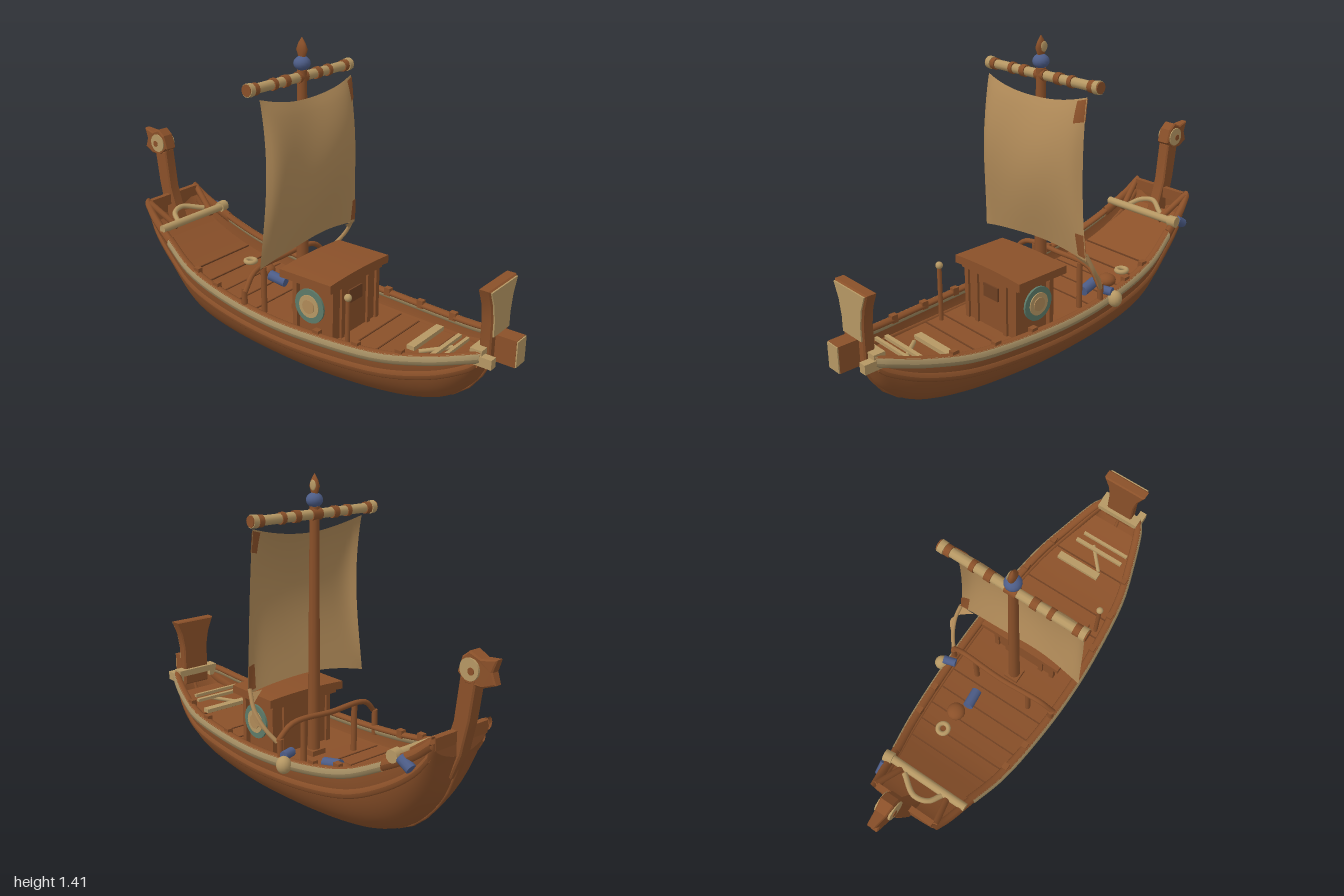
import * as THREE from 'three';
import { toCreasedNormals } from 'three/addons/utils/BufferGeometryUtils.js';

const V = (x, y, z) => new THREE.Vector3(x, y, z);
const mat = (name, color) => Object.assign(new THREE.MeshStandardMaterial({ color, side: THREE.DoubleSide }), { name });

// Sheer line (half width, y, z) and the matching keel line
const sheer = new THREE.CatmullRomCurve3([
  V(0.095, 0.345, 0.89), V(0.125, 0.335, 0.84), V(0.175, 0.3, 0.7), V(0.23, 0.272, 0.5), V(0.262, 0.265, 0.2),
  V(0.268, 0.272, -0.05), V(0.255, 0.3, -0.3), V(0.232, 0.345, -0.5), V(0.195, 0.42, -0.66),
  V(0.17, 0.49, -0.78), V(0.15, 0.55, -0.85)], false, 'catmullrom');
const keel = new THREE.CatmullRomCurve3([
  V(0, 0.29, 0.885), V(0, 0.17, 0.82), V(0, 0.07, 0.7), V(0, 0.025, 0.5), V(0, 0.004, 0.2),
  V(0, 0.006, -0.05), V(0, 0.02, -0.32), V(0, 0.055, -0.52), V(0, 0.13, -0.66),
  V(0, 0.28, -0.785), V(0, 0.47, -0.855)], false, 'catmullrom');
const sheerPoints = sheer.getPoints(200);
const sheerAt = z => sheerPoints.reduce((a, b) => (Math.abs(b.z - z) < Math.abs(a.z - z) ? b : a));
const deckDrop = 0.062;
const deckY = z => sheerAt(z).y - deckDrop;

// Hull skin: t runs bow to stern, th goes from one rail under the keel to the other
function hullPoint(t, th) {
  const s = sheer.getPoint(t), k = keel.getPoint(t), c = Math.cos(th), f = Math.sin(th);
  const p = 0.94 + 0.4 * Math.pow(Math.abs(2 * t - 1), 4);
  return V(s.x * Math.sign(c) * Math.pow(Math.abs(c), p), s.y + (k.y - s.y) * f, s.z + (k.z - s.z) * f);
}

// Surface from a rule of two parameters, both 0..1
function grid(fn, nu, nv) {
  const pos = [], idx = [];
  for (let i = 0; i <= nu; i++) for (let j = 0; j <= nv; j++) pos.push(...fn(i / nu, j / nv).toArray());
  for (let i = 0; i < nu; i++) for (let j = 0; j < nv; j++) {
    const a = i * (nv + 1) + j, b = a + nv + 1;
    idx.push(a, b, a + 1, b, b + 1, a + 1);
  }
  const g = new THREE.BufferGeometry();
  g.setAttribute('position', new THREE.Float32BufferAttribute(pos, 3));
  g.setIndex(idx);
  g.computeVertexNormals();
  return g;
}

// Billowing cloth with edges curling back: u across, v from yard to foot
function sailPoint(u, v) {
  const w = 2 * u - 1, top = 1.205 - 0.045 * (1 - w * w), low = 0.525 + 0.035 * (1 - w * w) + 0.01 * w;
  const belly = Math.sin(Math.PI * Math.pow(v, 0.85));
  return V(w * (0.285 + 0.025 * v * v), top + (low - top) * v,
    -0.012 + 0.058 * belly + 0.012 * (1 - w * w) - 0.035 * Math.pow(w, 10) * belly
    + 0.012 * v + 0.004 * Math.sin(9 * u + 5 * v));
}

export function createModel() {
  const model = new THREE.Group();
  model.name = 'sailingBoat';
  const brown = mat('brownWood', 0x8a5029), dark = mat('darkWood', 0x6f4022), tan = mat('paleWood', 0xb59763),
    cloth = mat('sailCloth', 0xb08a58), trim = mat('weatheredTrim', 0xa08a60), blue = mat('blueCloth', 0x4d5d88),
    teal = mat('tealPaint', 0x5c7a68);

  const add = (name, geo, m, x = 0, y = 0, z = 0) => {
    const mesh = new THREE.Mesh(geo, m);
    mesh.name = name;
    mesh.position.set(x, y, z);
    model.add(mesh);
  };
  const box = (name, w, h, d, m, x, y, z) => add(name, new THREE.BoxGeometry(w, h, d), m, x, y, z);
  const ball = (name, r, m, x, y, z, sy = 1) => add(name, new THREE.SphereGeometry(r, 14, 10).scale(1, sy, 1), m, x, y, z);
  const rod = (name, a, b, r, m, r2 = r) => {
    const d = b.clone().sub(a), mid = a.clone().add(b).multiplyScalar(0.5);
    const turn = new THREE.Quaternion().setFromUnitVectors(V(0, 1, 0), d.clone().normalize());
    add(name, new THREE.CylinderGeometry(r2, r, d.length(), 10).applyQuaternion(turn), m, mid.x, mid.y, mid.z);
  };
  const tube = (name, pts, r, m) => add(name, new THREE.TubeGeometry(new THREE.CatmullRomCurve3(pts), 24, r, 8), m);
  const extrude = (pts, depth, bevel = 0.006) => {
    const g = new THREE.ExtrudeGeometry(new THREE.Shape(pts.map(p => new THREE.Vector2(...p))),
      { depth, bevelEnabled: bevel > 0, bevelSize: bevel, bevelThickness: bevel, bevelSegments: 1 });
    return toCreasedNormals(g.translate(0, 0, -depth / 2), 0.5);
  };
  const sideExtrude = (pts, depth) => extrude(pts, depth).rotateY(-Math.PI / 2);

  // Hull skin, end walls and sunken deck
  add('hull', grid((t, u) => hullPoint(t, u * Math.PI), 60, 32), brown);
  for (const t of [0, 1]) add(t ? 'sternWall' : 'bowWall', grid((u, v) => {
    const p = hullPoint(t, u * Math.PI), s = sheer.getPoint(t);
    return p.lerp(V(p.x, s.y, s.z), v);
  }, 24, 2), brown);
  add('deck', grid((t, u) => {
    const s = sheer.getPoint(0.1 + 0.86 * t);
    return V((2 * u - 1) * s.x * 0.93, s.y - deckDrop, s.z);
  }, 40, 4), brown);
  for (const z of [0.62, 0.42, 0.32, -0.18, -0.28, -0.37, -0.46, -0.55])
    box('deckSeam', sheerAt(z).x * 1.84, 0.006, 0.006, dark, 0, deckY(z) + 0.001, z);
  tube('keelBeam', keel.getPoints(20), 0.008, brown);

  // Rails with a brown cap over a pale outer band, wales and timber ends, on both sides
  const rail = (s, t0, t1, dx, dy, rx, ry) => grid((t, a) => {
    const p = sheer.getPoint(t0 + (t1 - t0) * t), c = Math.cos(a * 2 * Math.PI), q = Math.sin(a * 2 * Math.PI);
    return V(s * (p.x + dx + rx * c), p.y + dy + ry * q, p.z);
  }, 40, 10);
  for (const s of [-1, 1]) {
    add('gunwaleBand', rail(s, 0, 0.8, 0.005, 0, 0.016, 0.022), trim);
    add('gunwaleCap', rail(s, 0, 0.8, -0.004, 0.013, 0.019, 0.012), brown);
    add('sternGunwale', rail(s, 0.8, 1, 0, 0.004, 0.018, 0.026), brown);
    add('wale', grid((t, a) => {
      const p = hullPoint(0.03 + 0.94 * t, 0.3), c = Math.cos(a * 2 * Math.PI), q = Math.sin(a * 2 * Math.PI);
      return V(s * (p.x + 0.01 * c), p.y + 0.022 * q, p.z);
    }, 40, 8), brown);
    box('bowTimberEnd', 0.034, 0.04, 0.08, tan, s * 0.095, 0.335, 0.9);
    for (const z of [0.6, 0.42, 0.24, -0.32, -0.45])
      box('railCleat', 0.025, 0.035, 0.03, brown, s * (sheerAt(z).x - 0.01), sheerAt(z).y + 0.02, z);
  }

  // Flared bow post with pale face, and the beam end below it
  const flare = [[-0.06, 0.3], [0.06, 0.3], [0.06, 0.48], [0.072, 0.55], [0.098, 0.612], [-0.098, 0.612], [-0.072, 0.55], [-0.06, 0.48]];
  add('bowPost', extrude(flare, 0.036), brown, 0, 0, 0.885);
  add('bowPostFace', extrude(flare.map(([x, y]) => [x, Math.max(y, 0.42)]), 0.006, 0), tan, 0, 0, 0.912);
  box('bowCrossbar', 0.21, 0.03, 0.05, tan, 0, 0.36, 0.87);
  box('bowBeam', 0.068, 0.11, 0.13, brown, 0, 0.365, 0.93);
  box('bowBeamFace', 0.066, 0.106, 0.006, tan, 0, 0.365, 0.997);

  // Stern post with tapered carved head, and the stern boards
  add('sternPost', sideExtrude([[-0.77, 0.4], [-0.81, 0.52], [-0.835, 0.6], [-0.855, 0.77], [-0.915, 0.77],
    [-0.895, 0.62], [-0.865, 0.48], [-0.825, 0.38]], 0.045), brown);
  const head = sideExtrude([[-0.845, 0.79], [-0.862, 0.845], [-0.89, 0.868], [-0.935, 0.848], [-0.992, 0.858],
    [-0.975, 0.815], [-0.99, 0.775], [-0.945, 0.757], [-0.88, 0.76]], 0.05), hp = head.attributes.position;
  for (let i = 0; i < hp.count; i++) hp.setX(i, hp.getX(i) * Math.min(1, 1 + 5 * (hp.getZ(i) + 0.9)));
  head.computeVertexNormals();
  add('sternHead', head, brown);
  for (const s of [-1, 1]) {
    add('headDisc', new THREE.CylinderGeometry(0.042, 0.042, 0.009, 16).rotateZ(Math.PI / 2), tan, s * 0.031, 0.81, -0.895);
    add('headEye', new THREE.CylinderGeometry(0.014, 0.014, 0.008, 12).rotateZ(Math.PI / 2), brown, s * 0.034, 0.805, -0.905);
    rod('sternBrace', V(s * 0.15, 0.56, -0.84), V(s * 0.11, 0.46, -0.7), 0.014, brown);
  }
  box('sternBoard', 0.28, 0.05, 0.025, brown, 0, 0.545, -0.84);

  // Cabin: walls, corner posts, roof and a round shield on each side
  box('cabinWalls', 0.28, 0.25, 0.19, brown, 0, 0.31, 0.145);
  for (const x of [-0.15, -0.09, 0.09, 0.15]) for (const z of [0.05, 0.24])
    box('cabinPost', 0.022, 0.25, 0.022, brown, x, 0.315, z);
  box('cabinWindow', 0.09, 0.06, 0.008, dark, 0, 0.37, 0.243);
  box('roofBeam', 0.35, 0.022, 0.235, brown, 0, 0.442, 0.135);
  const roof = new THREE.BoxGeometry(0.4, 0.035, 0.265, 8, 1, 1), rp = roof.attributes.position;
  for (let i = 0; i < rp.count; i++) rp.setY(i, rp.getY(i) - 0.2 * rp.getX(i) ** 2);
  roof.computeVertexNormals();
  add('cabinRoof', roof, brown, 0, 0.472, 0.135);
  for (const s of [-1, 1]) {
    const disc = (name, r, m, x) => add(name, new THREE.CylinderGeometry(r, r, 0.009, 24).rotateZ(Math.PI / 2), m, s * x, 0.345, 0.14);
    disc('shieldRim', 0.075, teal, 0.172);
    disc('shieldFace', 0.05, tan, 0.176);
    disc('shieldBoss', 0.03, cloth, 0.18);
  }

  // Mast with blue ball and narrow pointed finial
  rod('mast', V(0, 0.19, -0.04), V(0, 1.27, -0.04), 0.028, brown, 0.02);
  ball('mastBall', 0.035, blue, 0, 1.296, -0.04, 0.85);
  add('mastTip', new THREE.LatheGeometry([[0.014, 0], [0.027, 0.035], [0.018, 0.06], [0.001, 0.085]]
    .map(p => new THREE.Vector2(...p)), 12).scale(0.6, 1, 1), brown, 0, 1.315, -0.04);
  add('mastTipFace', new THREE.SphereGeometry(0.018, 10, 8).scale(0.22, 1.2, 1), tan, 0.013, 1.355, -0.045);
  box('mastStep', 0.07, 0.03, 0.07, brown, 0, 0.22, -0.04);

  // Yard with lashings and end knobs
  rod('yard', V(-0.31, 1.24, -0.045), V(0.31, 1.24, -0.045), 0.02, tan);
  for (const [x, w] of [[-0.28, 0.012], [-0.17, 0.01], [-0.1, 0.014], [0, 0.025], [0.1, 0.014], [0.17, 0.01], [0.28, 0.012]])
    rod('yardLashing', V(x - w, 1.24, -0.045), V(x + w, 1.24, -0.045), 0.025, brown);
  for (const s of [-1, 1]) {
    rod('yardEnd', V(s * 0.295, 1.24, -0.045), V(s * 0.319, 1.242, -0.045), 0.027, tan);
    rod('yardEndCap', V(s * 0.318, 1.242, -0.045), V(s * 0.323, 1.242, -0.045), 0.024, brown);
  }

  // Sail, brown patches on both faces, and the corner pulled down by a sheet
  add('sail', grid(sailPoint, 32, 24), cloth);
  for (const [u0, u1, v0, v1] of [[0.93, 1, 0.01, 0.14], [0.94, 1, 0.83, 0.98]]) for (const d of [-0.004, 0.004])
    add('sailPatch', grid((u, v) => sailPoint(u0 + (u1 - u0) * u, v0 + (v1 - v0) * v).add(V(0, 0, d)), 4, 6), brown);
  add('sailCorner', grid((u, v) => V(0.24 + 0.07 * u, 0.54, 0.005).lerp(V(0.285, 0.39, -0.1), v)
    .add(V((0.02 + 0.05 * (1 - u)) * Math.sin(v * Math.PI), 0, 0)), 6, 10), cloth);
  tube('sailSheet', [V(0.306, 0.56, 0), V(0.314, 0.48, -0.04), V(0.298, 0.41, -0.09), V(0.27, 0.36, -0.13)], 0.009, cloth);

  // Arched railing behind the mast
  tube('railing', [V(-0.27, 0.36, -0.13), V(-0.2, 0.425, -0.14), V(0, 0.43, -0.15), V(0.2, 0.425, -0.14), V(0.27, 0.36, -0.13)], 0.012, brown);
  for (const x of [-0.262, -0.14, 0.14, 0.262])
    rod('railingPost', V(x, Math.abs(x) > 0.2 ? 0.26 : 0.21, -0.14), V(x, Math.abs(x) > 0.2 ? 0.375 : 0.43, -0.14), 0.013, brown);

  // Foredeck gear: mooring post, benches and small poles
  rod('mooringPost', V(-0.2, 0.2, 0.355), V(-0.2, 0.45, 0.355), 0.01, brown);
  ball('mooringKnob', 0.016, tan, -0.2, 0.46, 0.355);
  box('bench', 0.22, 0.018, 0.035, tan, 0.035, 0.262, 0.57);
  box('benchPlank', 0.25, 0.014, 0.018, tan, -0.01, 0.275, 0.68);
  box('benchPlank', 0.24, 0.014, 0.014, tan, -0.02, 0.282, 0.725);
  rod('loosePole', V(-0.06, 0.25, 0.6), V(0.03, 0.265, 0.7), 0.009, tan);

  // Stern gear: steering bar, blue bundles, coil and fender
  rod('steeringBar', V(-0.2, 0.475, -0.705), V(0.2, 0.475, -0.705), 0.018, tan);
  rod('steeringBarEnd', V(0.17, 0.475, -0.705), V(0.21, 0.475, -0.71), 0.026, tan);
  rod('blueRoll', V(0.188, 0.475, -0.735), V(0.186, 0.445, -0.785), 0.022, blue);
  tube('ropeArc', [V(-0.09, 0.48, -0.72), V(-0.06, 0.5, -0.77), V(0, 0.51, -0.785), V(0.09, 0.49, -0.73)], 0.012, tan);
  rod('blueBundle', V(0.09, 0.25, -0.215), V(0.08, 0.265, -0.3), 0.024, blue);
  ball('woodenFloat', 0.042, brown, 0.11, deckY(-0.35) + 0.02, -0.35, 0.7);
  add('ropeCoil', new THREE.TorusGeometry(0.024, 0.011, 8, 18).rotateX(Math.PI / 2), tan, 0.11, deckY(-0.45) + 0.014, -0.45);
  ball('fender', 0.032, tan, 0.292, 0.292, -0.2, 1.15);
  rod('fenderStrap', V(0.23, 0.325, -0.175), V(0.285, 0.325, -0.19), 0.019, blue);
  return model;
}
